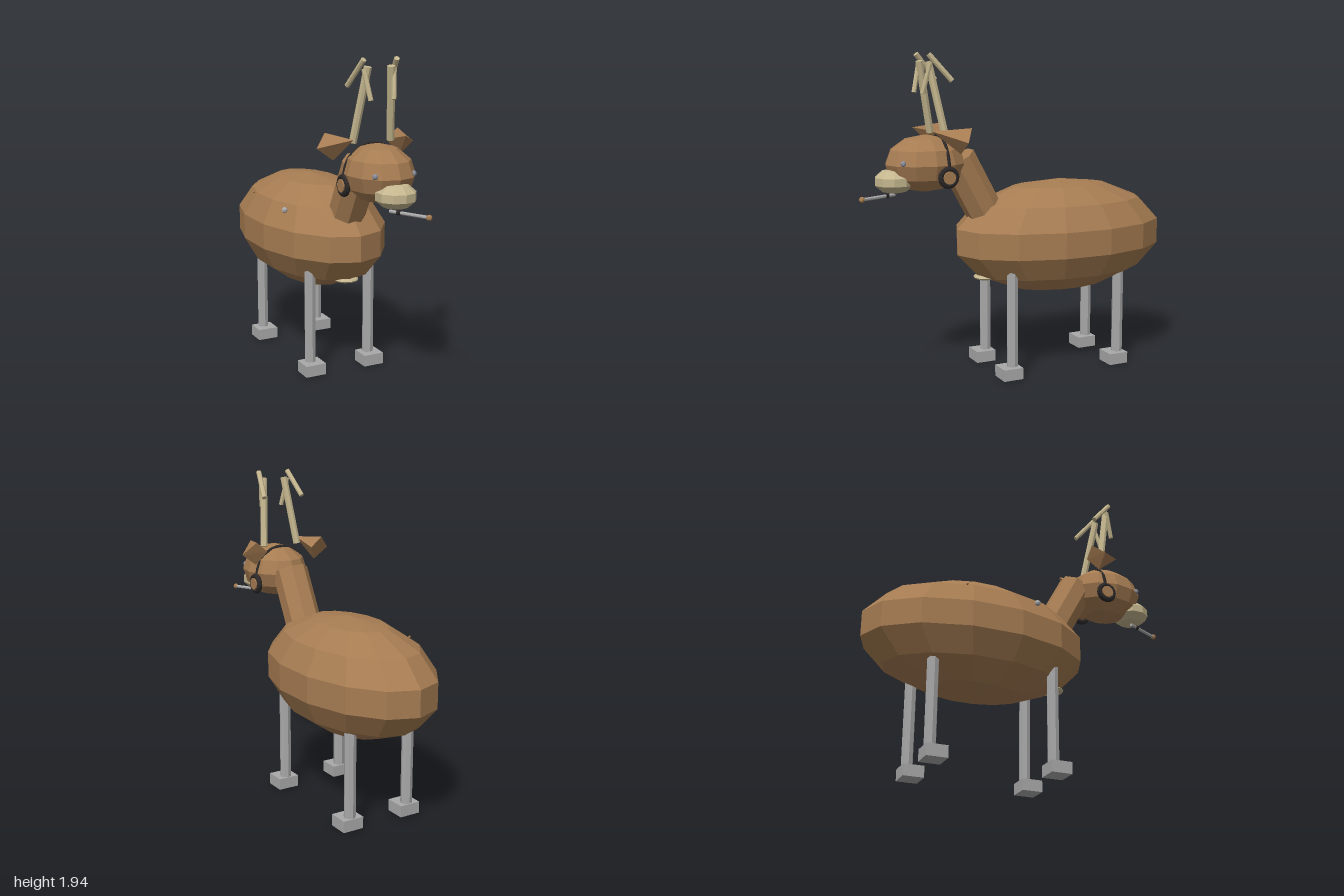
import * as THREE from 'three';
import { ConvexGeometry } from 'three/addons/geometries/ConvexGeometry.js';

const mat = (name, color) => {
  const m = new THREE.MeshStandardMaterial({ color, flatShading: true });
  m.name = name;
  return m;
};

export function createModel() {
  const model = new THREE.Group();
  const brown = mat('brown coat', 0xa67c52);
  const cream = mat('cream', 0xc4b68e);
  const grey = mat('grey metal', 0xa9a9a9);
  const eyeGrey = mat('eye grey', 0x8a8d98);
  const dark = mat('dark rubber', 0x2b2827);

  const add = (name, geo, material, parent = model) => {
    const mesh = new THREE.Mesh(geo, material);
    mesh.name = name;
    parent.add(mesh);
    return mesh;
  };

  // Faceted ellipsoid with a vertex column facing +z
  const ellipsoid = (name, material, c, r, w, h, parent) =>
    add(name, new THREE.SphereGeometry(1, w, h).rotateY(Math.PI / 2)
      .scale(...r).translate(...c), material, parent);

  // Straight faceted rod between two points
  const rod = (name, material, a, b, r, sides, parent, turn = 0) => {
    const from = new THREE.Vector3(...a), to = new THREE.Vector3(...b);
    const dir = to.clone().sub(from);
    const geo = new THREE.CylinderGeometry(r, r, dir.length(), sides).rotateY(turn);
    const mesh = add(name, geo, material, parent);
    mesh.position.copy(from).add(to).multiplyScalar(0.5);
    mesh.quaternion.setFromUnitVectors(new THREE.Vector3(0, 1, 0), dir.normalize());
    return mesh;
  };

  // Body, neck and head
  ellipsoid('body', brown, [0, 0.815, -0.31], [0.405, 0.35, 0.705], 14, 7);
  ellipsoid('chestPlate', cream, [0, 0.59, 0.2], [0.075, 0.02, 0.068], 10, 6);
  rod('neck', brown, [0, 1.0, 0.203], [0, 1.323, 0.377], 0.112, 8, model, Math.PI / 8);
  ellipsoid('head', brown, [0, 1.303, 0.573], [0.195, 0.168, 0.243], 12, 6);
  ellipsoid('muzzle', cream, [0, 1.21, 0.765], [0.12, 0.075, 0.12], 10, 5);

  // Small studs on the right flank
  ellipsoid('flankStud', grey, [-0.3, 1.0, -0.03], [0.018, 0.018, 0.018], 8, 6);
  ellipsoid('flankDot', brown, [-0.312, 1.03, -0.475], [0.008, 0.008, 0.008], 6, 4);

  // Headphone band over the head
  add('headBand', new THREE.TorusGeometry(0.175, 0.011, 6, 24, Math.PI), dark)
    .position.set(0, 1.285, 0.495);

  for (const s of [1, -1]) {
    const side = new THREE.Group();
    side.name = s > 0 ? 'leftHeadParts' : 'rightHeadParts';
    model.add(side);

    ellipsoid('eye', eyeGrey, [s * 0.12, 1.32, 0.75], [0.017, 0.017, 0.017], 8, 6, side);

    // Four-sided ear, tip forward
    const ear = [[0.165, 1.5, 0.59], [0.31, 1.44, 0.43], [0.235, 1.517, 0.378],
      [0.16, 1.455, 0.38], [0.212, 1.368, 0.436]];
    add('ear', new ConvexGeometry(ear.map(([x, y, z]) => new THREE.Vector3(s * x, y, z))),
      brown, side);

    // Ear cup with a dark cushion ring
    add('earCushion', new THREE.TorusGeometry(0.048, 0.017, 8, 16).rotateY(Math.PI / 2), dark, side)
      .position.set(s * 0.18, 1.235, 0.5);
    add('earCup', new THREE.CylinderGeometry(0.038, 0.038, 0.07, 12).rotateZ(Math.PI / 2), brown, side)
      .position.set(s * 0.165, 1.235, 0.5);

    // Antler: main beam and two tines
    rod('antlerBeam', cream, [s * 0.12, 1.47, 0.495], [s * 0.073, 1.89, 0.575], 0.023, 8, side);
    rod('backTine', cream, [s * 0.103, 1.93, 0.583], [s * 0.135, 1.78, 0.455], 0.016, 8, side);
    rod('frontTine', cream, [s * 0.095, 1.88, 0.57], [s * 0.072, 1.71, 0.61], 0.014, 8, side);

    // Legs and block feet
    for (const [name, z] of [['front', 0.107], ['back', -0.625]]) {
      rod(name + 'Leg', grey, [s * 0.2, 0.05, z], [s * 0.2, 0.7, z], 0.035, 8);
      add(name + 'Foot', new THREE.BoxGeometry(0.132, 0.07, 0.125), grey)
        .position.set(s * 0.2, 0.035, z + 0.022);
    }
  }

  // Stick held under the mouth
  rod('mouthStick', grey, [-0.03, 1.125, 0.755], [0.077, 1.125, 0.98], 0.01, 8);
  rod('stickBand', dark, [-0.01, 1.125, 0.8], [0.0, 1.125, 0.82], 0.0125, 8);
  ellipsoid('stickTip', brown, [0.077, 1.125, 0.983], [0.017, 0.017, 0.017], 8, 6);

  return model;
}
